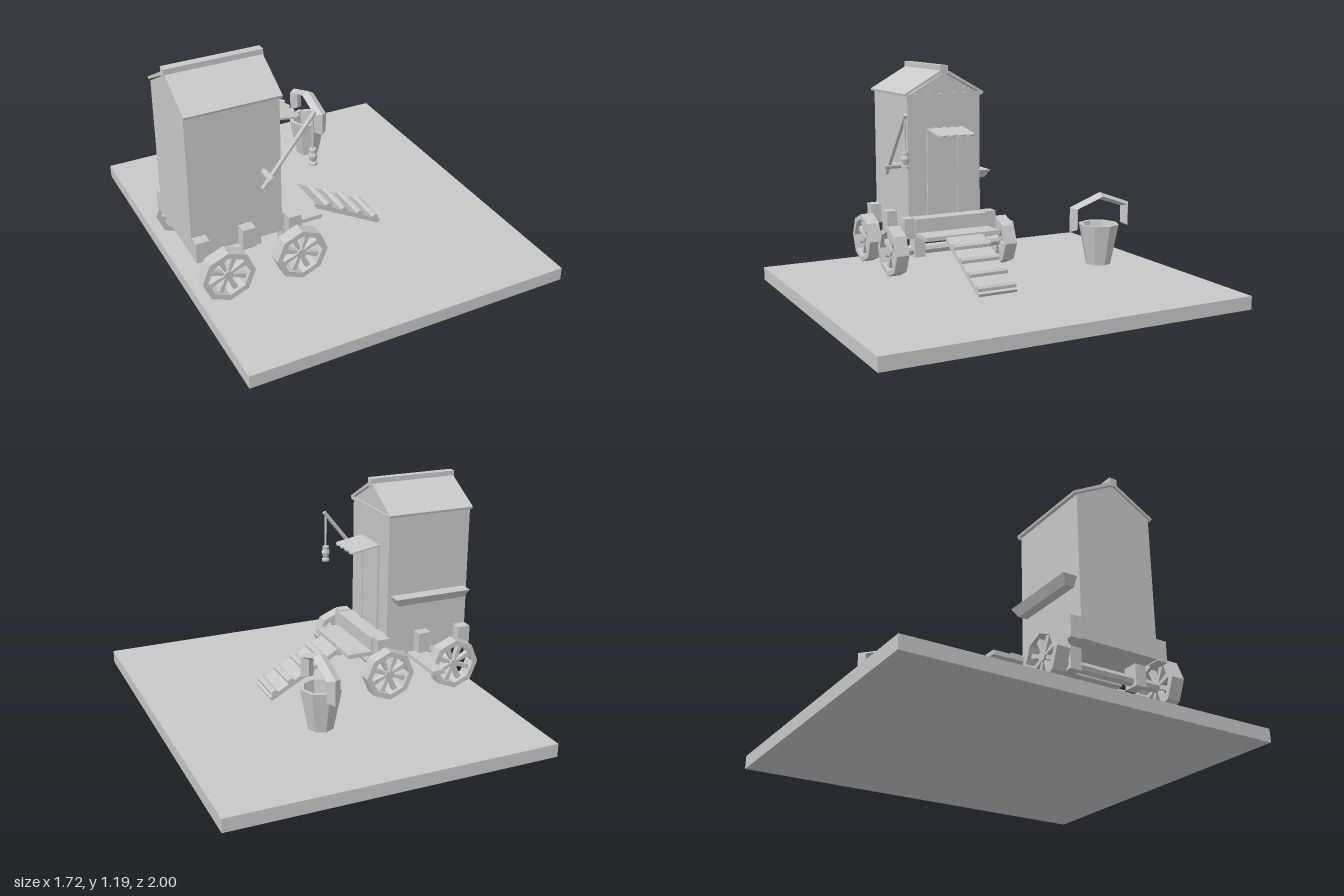
import * as THREE from 'three';

export function createModel() {
  const model = new THREE.Group();
  const grey = new THREE.MeshStandardMaterial({ color: 0xc8c8c8, flatShading: true, side: THREE.DoubleSide });
  grey.name = 'lightGrey';

  const add = (name, geometry, parent = model) => {
    const mesh = new THREE.Mesh(geometry, grey);
    mesh.name = name;
    parent.add(mesh);
    return mesh;
  };
  // Box given by its limits on each axis
  const box = (name, x0, x1, y0, y1, z0, z1, parent) => {
    const m = add(name, new THREE.BoxGeometry(x1 - x0, y1 - y0, z1 - z0), parent);
    m.position.set((x0 + x1) / 2, (y0 + y1) / 2, (z0 + z1) / 2);
    return m;
  };
  // Round rod between two points
  const rod = (name, a, b, r, sides = 8) => {
    const from = new THREE.Vector3(...a), to = new THREE.Vector3(...b);
    const dir = to.clone().sub(from);
    const m = add(name, new THREE.CylinderGeometry(r, r, dir.length(), sides));
    m.position.copy(from).add(to).multiplyScalar(0.5);
    m.quaternion.setFromUnitVectors(new THREE.Vector3(0, 1, 0), dir.normalize());
    return m;
  };
  // Outline in (z, y) extruded along x from x0 to x1
  const alongX = (name, points, x0, x1) => {
    const shape = new THREE.Shape(points.map(([z, y]) => new THREE.Vector2(-z, y)));
    const g = new THREE.ExtrudeGeometry(shape, { depth: x1 - x0, bevelEnabled: false });
    g.rotateY(Math.PI / 2);
    g.translate(x0, 0, 0);
    return add(name, g);
  };
  const midZ = 0.115;

  // Ground slab
  box('ground', -0.86, 0.86, 0, 0.07, -1, 1);

  // Cabin with gabled walls
  alongX('cabin', [[-0.10, 0.28], [0.33, 0.28], [0.33, 1.03], [midZ, 1.15], [-0.10, 1.03]], -0.85, -0.375);

  // Roof slopes, ridge cap and front eave beam
  for (const s of [-1, 1]) {
    alongX('roofSlope', [[midZ, 1.155], [midZ + s * 0.232, 1.03], [midZ + s * 0.235, 1.042], [midZ, 1.175]], -0.855, -0.367);
  }
  box('ridgeCap', -0.86, -0.365, 1.145, 1.19, 0.095, 0.138);
  box('eaveBeam', -0.375, -0.365, 1.024, 1.04, -0.11, 0.34);

  // Door and its frame
  box('door', -0.375, -0.371, 0.38, 0.82, 0.04, 0.19);
  box('doorPost', -0.375, -0.366, 0.38, 0.83, 0.19, 0.22);
  box('doorPost', -0.375, -0.366, 0.38, 0.83, 0.005, 0.04);
  box('doorLintel', -0.375, -0.366, 0.82, 0.855, 0.005, 0.22);

  // Awning of four round-ended slats
  for (let i = 0; i < 4; i++) {
    const w = 0.0265, s = new THREE.Shape();
    s.moveTo(0, -w);
    s.lineTo(0.14, -w);
    s.absarc(0.14, 0, w, -Math.PI / 2, Math.PI / 2);
    s.lineTo(0, w);
    const g = new THREE.ExtrudeGeometry(s, { depth: 0.01, bevelEnabled: false, curveSegments: 8 });
    g.rotateX(-Math.PI / 2);
    const slat = add('awningSlat', g);
    slat.position.set(-0.375, 0.845, 0.0315 + i * 0.0535);
    slat.rotation.z = -0.16;
  }

  // Porch platform and threshold box
  box('platform', -0.375, -0.15, 0.283, 0.305, -0.105, 0.325);
  box('thresholdBox', -0.375, -0.285, 0.305, 0.38, -0.10, 0.33);

  // Side posts along the cabin foot
  for (const x of [-0.815, -0.575, -0.33]) {
    box('sidePost', x - 0.035, x + 0.035, 0.275, 0.385, 0.33, 0.388);
    box('sidePost', x - 0.035, x + 0.035, 0.275, 0.385, -0.158, -0.10);
  }
  box('underBeam', -0.585, -0.49, 0.24, 0.28, -0.10, 0.33);
  box('backStep', -0.57, -0.50, 0.243, 0.265, -0.385, -0.05);

  // Tapered planter on the back wall
  {
    const g = new THREE.BoxGeometry(0.44, 0.045, 0.075), p = g.attributes.position;
    for (let i = 0; i < p.count; i++) {
      if (p.getY(i) < 0) {
        p.setX(i, p.getX(i) * 0.88);
        if (p.getZ(i) < 0) p.setZ(i, -0.012);
      }
    }
    add('wallPlanter', g).position.set(-0.61, 0.578, -0.137);
  }

  // Eight-sided wheels with spokes
  const ring = (r, Type) => new Type(Array.from({ length: 8 }, (_, i) =>
    new THREE.Vector2(r * Math.cos(i * Math.PI / 4), r * Math.sin(i * Math.PI / 4))));
  const rimShape = ring(0.137, THREE.Shape);
  rimShape.holes.push(ring(0.108, THREE.Path));
  const rim = new THREE.ExtrudeGeometry(rimShape, { depth: 0.07, bevelEnabled: false });
  rim.translate(0, 0, -0.035);
  const spokeShape = new THREE.Shape([[-0.006, 0.01], [0.006, 0.01], [0.014, 0.105], [-0.014, 0.105]]
    .map(([x, y]) => new THREE.Vector2(x, y)));
  const spoke = new THREE.ExtrudeGeometry(spokeShape, { depth: 0.03, bevelEnabled: false });
  spoke.translate(0, 0, -0.015);
  const hub = new THREE.CylinderGeometry(0.026, 0.026, 0.05, 8);
  hub.rotateX(Math.PI / 2);
  for (const x of [-0.722, -0.333]) {
    for (const z of [0.44, -0.205]) {
      const wheel = new THREE.Group();
      wheel.name = 'wheel';
      wheel.position.set(x, 0.21, z);
      model.add(wheel);
      add('rim', rim, wheel);
      add('hub', hub, wheel);
      for (let i = 0; i < 8; i++) add('spoke', spoke, wheel).rotation.z = (i + 0.5) * Math.PI / 4;
    }
    rod('axle', [x, 0.205, -0.2], [x, 0.205, 0.435], 0.027);
    box('axleBracket', x - 0.04, x + 0.04, 0.17, 0.30, 0.27, 0.33);
    box('axleBracket', x - 0.04, x + 0.04, 0.17, 0.30, -0.10, -0.04);
  }

  // Boarding ramp with round treads
  const ramp = new THREE.Group();
  ramp.name = 'ramp';
  ramp.position.set(0.055, 0.183, 0.112);
  ramp.rotation.z = -Math.atan2(0.21, 0.38);
  model.add(ramp);
  box('rampBoard', -0.222, 0.222, -0.012, 0.012, -0.108, 0.108, ramp);
  for (let i = 0; i < 4; i++) {
    const g = new THREE.CylinderGeometry(0.02, 0.02, 0.216, 8);
    g.rotateX(Math.PI / 2);
    add('tread', g, ramp).position.set(-0.135 + i * 0.107, 0.014, 0);
  }

  // Lantern on a slanted pole
  rod('poleBracket', [-0.465, 0.65, 0.33], [-0.465, 0.65, 0.43], 0.016);
  rod('lanternPole', [-0.505, 0.605, 0.403], [-0.23, 0.948, 0.403], 0.011);
  rod('lanternCord', [-0.24, 0.94, 0.403], [-0.24, 0.75, 0.403], 0.006, 6);
  const profile = [[0, 0], [0.022, 0], [0.022, 0.012], [0.014, 0.018], [0.024, 0.05], [0.018, 0.068],
    [0.019, 0.085], [0, 0.09]].map(([r, y]) => new THREE.Vector2(r, y));
  add('lantern', new THREE.LatheGeometry(profile, 8)).position.set(-0.24, 0.667, 0.403);

  // Open bucket
  const bucketProfile = [[0, 0], [0.066, 0], [0.108, 0.215], [0.086, 0.215], [0.052, 0.02], [0, 0.02]]
    .map(([r, y]) => new THREE.Vector2(r, y));
  add('bucket', new THREE.LatheGeometry(bucketProfile, 8)).position.set(0.19, 0.15, -0.52);

  // Bucket handle: diamond section swept over five stations, as [outer z, y, inner z, y]
  const stations = [[-0.183, 0.337, -0.132, 0.365], [-0.183, 0.468, -0.132, 0.452], [0, 0.535, 0, 0.497],
    [0.183, 0.468, 0.132, 0.452], [0.183, 0.337, 0.132, 0.365]];
  const verts = [], index = [];
  for (const [oz, oy, iz, iy] of stations) {
    const mz = (oz + iz) / 2, my = (oy + iy) / 2;
    verts.push(0, oy, oz, 0.035, my, mz, 0, iy, iz, -0.035, my, mz);
  }
  for (let s = 0; s < 4; s++) {
    for (let k = 0; k < 4; k++) {
      const a = s * 4 + k, b = s * 4 + (k + 1) % 4;
      index.push(a, a + 4, b, b, a + 4, b + 4);
    }
  }
  index.push(0, 1, 2, 0, 2, 3, 16, 18, 17, 16, 19, 18);
  const handle = new THREE.BufferGeometry();
  handle.setAttribute('position', new THREE.Float32BufferAttribute(verts, 3));
  handle.setIndex(index);
  handle.computeVertexNormals();
  add('bucketHandle', handle).position.set(0.195, 0, -0.52);

  return model;
}
